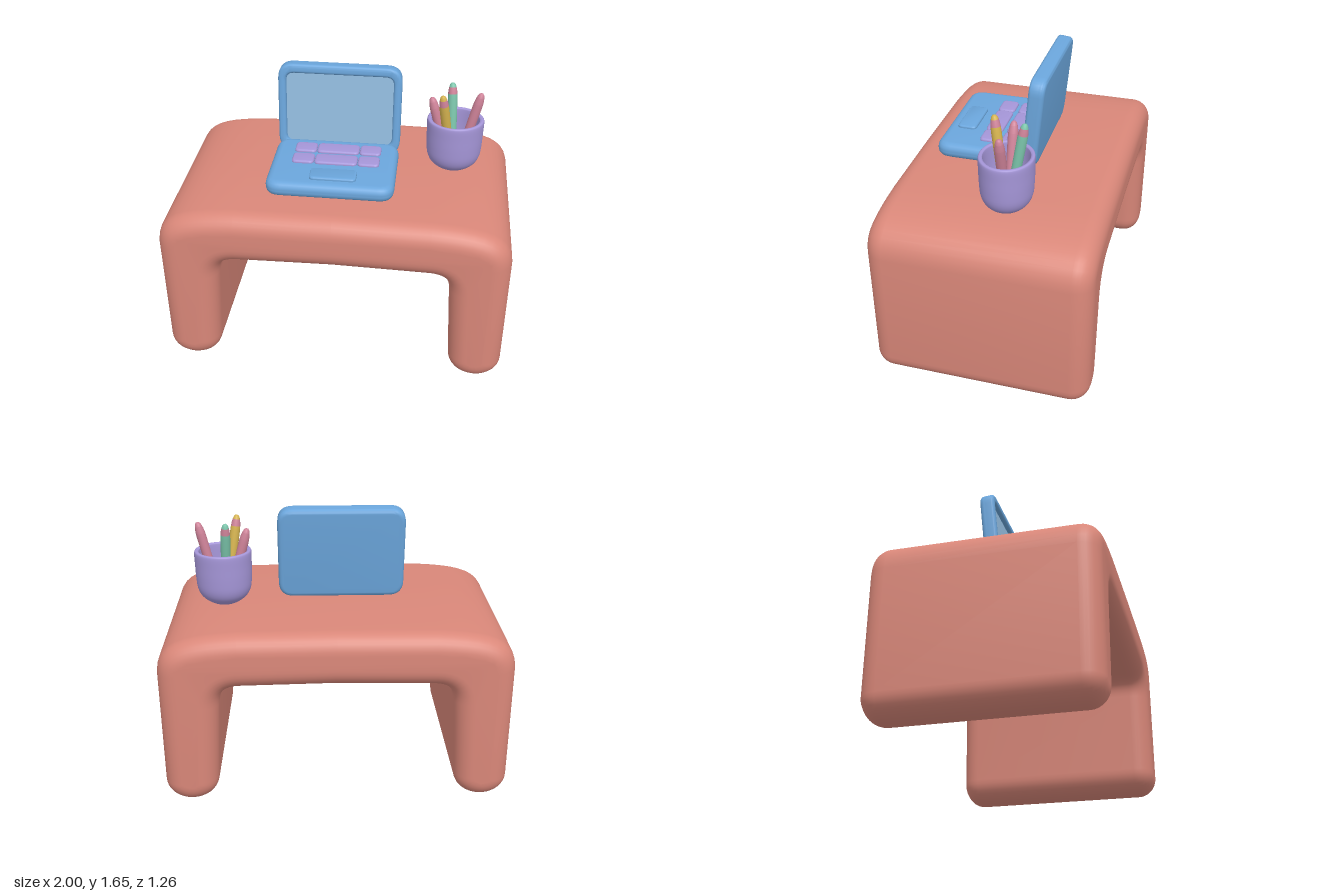
import * as THREE from 'three';
import { toCreasedNormals } from 'three/addons/utils/BufferGeometryUtils.js';

const material = (name, color) => {
  const m = new THREE.MeshStandardMaterial({ color });
  m.name = name;
  return m;
};

// Rounded rectangle centred on the origin
function roundedRect(Type, w, h, r) {
  const s = new Type(), x = w / 2, y = h / 2;
  s.moveTo(-x + r, -y);
  s.lineTo(x - r, -y);
  s.quadraticCurveTo(x, -y, x, -y + r);
  s.lineTo(x, y - r);
  s.quadraticCurveTo(x, y, x - r, y);
  s.lineTo(-x + r, y);
  s.quadraticCurveTo(-x, y, -x, y - r);
  s.lineTo(-x, -y + r);
  s.quadraticCurveTo(-x, -y, -x + r, -y);
  return s;
}

// Extrusion centred on z, with soft edges kept inside the outline
function softExtrude(shape, depth, bevel, segments = 5) {
  const geo = new THREE.ExtrudeGeometry(shape, {
    depth: depth - 2 * bevel, curveSegments: 8, bevelEnabled: true,
    bevelThickness: bevel, bevelSize: bevel, bevelOffset: -bevel, bevelSegments: segments,
  });
  geo.translate(0, 0, -(depth - 2 * bevel) / 2);
  return toCreasedNormals(geo, 0.7);
}

export function createModel() {
  const model = new THREE.Group();
  model.name = 'deskWithLaptop';
  const coral = material('coral', 0xd98779);
  const blue = material('blue', 0x6ba6dc);
  const paleBlue = material('paleBlue', 0x93bcdf);
  const purple = material('purple', 0xa596d8);
  const pink = material('pink', 0xd0849a);
  const yellow = material('yellow', 0xd6b450);
  const green = material('green', 0x7cc6ac);

  const add = (parent, name, geo, mat, x = 0, y = 0, z = 0) => {
    const mesh = new THREE.Mesh(geo, mat);
    mesh.name = name;
    mesh.position.set(x, y, z);
    parent.add(mesh);
    return mesh;
  };

  // Desk: right half of the arch profile, mirrored, then extruded
  const half = new THREE.Path();
  half.moveTo(0, 1.06);
  half.lineTo(0.55, 1.055);
  half.bezierCurveTo(0.86, 1.04, 0.99, 1.0, 1.0, 0.83);
  half.lineTo(1.0, 0.13);
  half.bezierCurveTo(1.0, 0.05, 0.92, 0, 0.85, 0);
  half.bezierCurveTo(0.77, 0, 0.69, 0.05, 0.69, 0.14);
  half.lineTo(0.665, 0.62);
  half.bezierCurveTo(0.66, 0.71, 0.62, 0.735, 0.53, 0.735);
  half.lineTo(0, 0.745);
  const right = half.getPoints(10);
  const left = right.slice(1, -1).reverse().map((p) => new THREE.Vector2(-p.x, p.y));
  add(model, 'desk', softExtrude(new THREE.Shape([...right, ...left]), 1.26, 0.11, 8), coral);

  // Laptop base, keys and touchpad
  const laptop = new THREE.Group();
  laptop.name = 'laptop';
  laptop.position.x = -0.037;
  model.add(laptop);
  const flat = (name, w, d, h, r, bevel, mat, x, y, z) => {
    const geo = softExtrude(roundedRect(THREE.Shape, w, d, r), h, bevel, 4);
    add(laptop, name, geo.rotateX(-Math.PI / 2), mat, x, y, z);
  };
  flat('laptopBase', 0.724, 0.54, 0.09, 0.09, 0.04, blue, 0, 1.142, 0.172);
  for (const z of [0.03, 0.154]) {
    for (const [x, w] of [[-0.178, 0.128], [0.012, 0.246], [0.2, 0.124]]) {
      flat('key', w, 0.102, 0.04, 0.028, 0.012, purple, x, 1.182, z);
    }
  }
  flat('touchpad', 0.264, 0.112, 0.04, 0.028, 0.01, blue, 0.015, 1.183, 0.32);

  // Laptop lid: back shell, raised rim and recessed screen
  const lid = new THREE.Group();
  lid.name = 'laptopLid';
  lid.position.set(0, 1.378, -0.135);
  lid.rotation.x = -0.1;
  laptop.add(lid);
  const outline = () => roundedRect(THREE.Shape, 0.724, 0.54, 0.09);
  add(lid, 'lidShell', softExtrude(outline(), 0.06, 0.025), blue, 0, 0, -0.015);
  const rim = outline();
  rim.holes.push(roundedRect(THREE.Path, 0.63, 0.43, 0.05));
  add(lid, 'lidRim', softExtrude(rim, 0.084, 0.018), blue, 0, 0, 0.003);
  add(lid, 'screen', new THREE.ShapeGeometry(roundedRect(THREE.Shape, 0.65, 0.45, 0.05)), paleBlue, 0, 0, 0.018);

  // Pencil cup: hollow lathe, slightly wider than deep
  const holder = new THREE.Group();
  holder.name = 'pencilHolder';
  holder.position.set(0.645, 1.05, -0.085);
  model.add(holder);
  const cup = new THREE.SplineCurve([
    [0, 0], [0.06, 0.01], [0.115, 0.05], [0.14, 0.1], [0.147, 0.17], [0.149, 0.25], [0.15, 0.315],
    [0.143, 0.33], [0.13, 0.328], [0.125, 0.31], [0.122, 0.2], [0.11, 0.1], [0.07, 0.05], [0, 0.04],
  ].map(([x, y]) => new THREE.Vector2(x, y))).getPoints(52);
  cup.forEach((p) => { p.x = Math.max(p.x, 0); });
  add(holder, 'cup', new THREE.LatheGeometry(cup, 40), purple).scale.x = 1.1;

  // Pencils fan out from the cup; each has a body, a band and a rounded tip
  const pencils = [
    [[-0.04, 0.08, 0], [-0.145, 0.455, 0], pink, pink],
    [[0.04, 0.08, 0], [0.137, 0.495, 0], pink, pink],
    [[-0.02, 0.08, 0.02], [-0.083, 0.51, 0.09], yellow, pink],
    [[-0.01, 0.08, -0.02], [-0.03, 0.51, -0.092], green, pink],
  ];
  for (const [from, to, bodyColor, bandColor] of pencils) {
    const a = new THREE.Vector3(...from), axis = new THREE.Vector3(...to).sub(a);
    const len = axis.length();
    const pencil = new THREE.Group();
    pencil.name = 'pencil';
    pencil.position.copy(a);
    pencil.quaternion.setFromUnitVectors(new THREE.Vector3(0, 1, 0), axis.normalize());
    holder.add(pencil);
    const turn = (name, pts, mat) => add(pencil, name,
      new THREE.LatheGeometry(pts.map(([r, d]) => new THREE.Vector2(r, len - d)), 16), mat);
    turn('pencilBody', [[0, len], [0.026, len], [0.028, 0.09], [0.027, 0.065]], bodyColor);
    turn('pencilBand', [[0.027, 0.065], [0.025, 0.045], [0.021, 0.025]], bandColor);
    turn('pencilTip', [[0.021, 0.025], [0.016, 0.01], [0.009, 0.002], [0, 0]], bodyColor);
  }
  return model;
}
